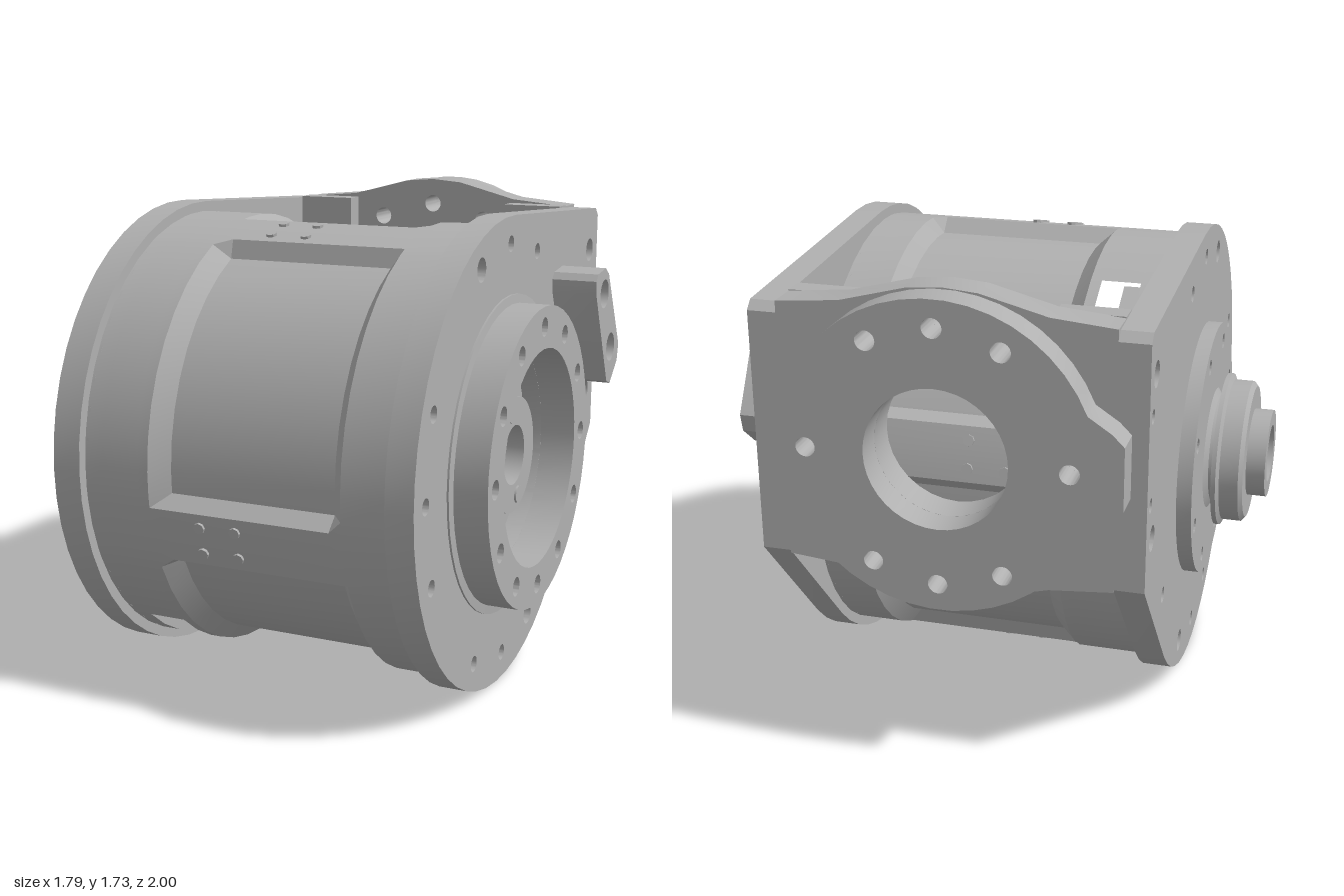
import * as THREE from 'three';
import { toCreasedNormals } from 'three/addons/utils/BufferGeometryUtils.js';

const CY = 0.853, CZ = 0.155; // main axis, parallel to x
const RAD = Math.PI / 180;
const metal = new THREE.MeshStandardMaterial({ color: 0xb0b0b0 });
metal.name = 'grey metal';

export function createModel() {
  const model = new THREE.Group();
  model.name = 'actuatorHousing';

  const add = (name, geo, crease = 32) => {
    const mesh = new THREE.Mesh(toCreasedNormals(geo, crease * RAD), metal);
    mesh.name = name;
    model.add(mesh);
    return mesh;
  };
  const circle = (x, y, r) => new THREE.Path().absarc(x, y, r, 0, Math.PI * 2, true);
  const polygon = pts => new THREE.Shape(pts.map(p => new THREE.Vector2(p[0], p[1])));
  const disc = (x, y, r) => new THREE.Shape().absarc(x, y, r, 0, Math.PI * 2, false);
  const extrude = (shape, depth, segs = 16) =>
    new THREE.ExtrudeGeometry(shape, { depth, bevelEnabled: false, curveSegments: segs });
  // side shapes are drawn as (-z, y) and run along x
  const sideways = (shape, x0, x1, segs) =>
    extrude(shape, x1 - x0, segs).rotateY(Math.PI / 2).translate(x0, 0, 0);
  // turned parts: closed profile of (radius, x)
  const turned = (name, pts) => add(name, new THREE.LatheGeometry(
    pts.map(p => new THREE.Vector2(p[0], p[1])), 48).rotateZ(-Math.PI / 2).translate(0, CY, CZ));
  // small cylinder along x
  const bolt = (name, x, y, z, r, len, sides = 6) =>
    add(name, new THREE.CylinderGeometry(r, r, len, sides).rotateZ(Math.PI / 2).translate(x, y, z));
  const ringHoles = (shape, count, radius, r, offset = 0) => {
    for (let i = 0; i < count; i++) {
      const a = (offset + i * 360 / count) * RAD;
      shape.holes.push(circle(-CZ + radius * Math.cos(a), CY + radius * Math.sin(a), r));
    }
  };

  // End plates: round in front, squared off at the back
  function endPlate(name, x0, x1, bore) {
    const s = new THREE.Shape();
    s.absarc(-CZ, CY, 0.847, 87 * RAD, 317 * RAD, false);
    s.lineTo(0.89, 0.75);
    s.lineTo(0.89, 1.61);
    s.lineTo(0.86, 1.64);
    s.closePath();
    s.holes.push(circle(-CZ, CY, bore));
    for (const deg of [67.5, 90, 112.5, 157.5, 180, 202.5, 247.5, 270, 292.5, 337.5]) {
      const r = deg === 112.5 || deg === 292.5 ? 0.042 : 0.029;
      s.holes.push(circle(-CZ + 0.75 * Math.cos(deg * RAD), CY + 0.75 * Math.sin(deg * RAD), r));
    }
    for (const [a, y, r] of [[0.79, 1.48, 0.045], [0.83, 1.35, 0.025], [0.83, 1.04, 0.025], [0.79, 0.905, 0.045]])
      s.holes.push(circle(a, y, r));
    add(name, sideways(s, x0, x1, 16), 20);
  }
  endPlate('leftEndPlate', 0.62, 0.72, 0.39);
  endPlate('rightEndPlate', -0.625, -0.52, 0.2);

  // Drum with four recessed panels, four ribs and two slots
  const xs = [-0.52, -0.45, -0.31, -0.27, -0.21, 0.405, 0.45, 0.62];
  const ribs = [-15, 75, 165, 255];
  const angles = [];
  for (const rib of ribs) {
    angles.push(rib - 7, rib, rib + 7, rib + 10);
    for (const d of [16, 24, 32, 40, 48, 56, 64, 72]) angles.push(rib + d);
    angles.push(rib + 80);
  }
  angles.push(338);
  angles.push(...[338].filter(() => false));
  const inPanel = t => {
    const m = (((t + 15) % 90) + 90) % 90;
    return m > 9 && m < 81;
  };
  const radiusAt = (x, t) => (x > -0.25 && x < 0.43 && inPanel(t) ? 0.755 : 0.81);
  const inSlot = t => (t > 107 && t < 139) || (t > 287 && t < 319);
  const pos = [];
  const point = (i, t) => {
    const r = radiusAt(xs[i], t);
    return [xs[i], CY + r * Math.sin(t * RAD), CZ + r * Math.cos(t * RAD)];
  };
  for (let j = 0; j < angles.length - 1; j++) {
    const t0 = angles[j], t1 = angles[j + 1];
    for (let i = 0; i < xs.length - 1; i++) {
      if (i === 1 && inSlot(t0) && inSlot(t1)) continue;
      const a = point(i, t0), b = point(i + 1, t0), c = point(i + 1, t1), d = point(i, t1);
      pos.push(...a, ...b, ...c, ...a, ...c, ...d);
    }
  }
  const drum = new THREE.BufferGeometry();
  drum.setAttribute('position', new THREE.Float32BufferAttribute(pos, 3));
  add('drum', drum, 25);
  for (const x of [-0.519, 0.609])
    turned('drumEndRing', [[0.3, x], [0.809, x], [0.809, x + 0.01], [0.3, x + 0.01], [0.3, x]]);

  // Contacts inside the slots
  for (const deg of [112, 292])
    add('slotContact', new THREE.BoxGeometry(0.06, 0.05, 0.2)
      .translate(0, 0.73, 0).rotateX((90 - deg - 8) * RAD).translate(-0.41, CY, CZ));

  // Rib screws
  for (const rib of ribs) for (const d of [-3.5, 3.5]) for (const x of [-0.08, 0.055])
    add('ribScrew', new THREE.CylinderGeometry(0.02, 0.02, 0.02, 8)
      .translate(0, 0.808, 0).rotateX((90 - rib - d) * RAD).translate(x, CY, CZ));

  // Left bearing ring with its bolts
  const ring = disc(-CZ, CY, 0.54);
  ring.holes.push(circle(-CZ, CY, 0.39));
  ringHoles(ring, 12, 0.468, 0.034);
  add('bearingRing', sideways(ring, 0.72, 0.85, 24));
  turned('bearingRingLip', [[0.5, 0.715], [0.572, 0.715], [0.572, 0.727], [0.5, 0.735], [0.5, 0.715]]);
  for (let i = 0; i < 12; i++) {
    const a = i * 30 * RAD;
    bolt('ringBolt', 0.77, CY + 0.468 * Math.sin(a), CZ + 0.468 * Math.cos(a), 0.022, 0.1);
  }

  // Hollow shaft, right through the housing
  turned('hollowShaft', [
    [0.108, -0.9], [0.165, -0.9], [0.165, -0.83], [0.25, -0.83], [0.268, -0.815], [0.268, -0.745],
    [0.29, -0.735], [0.29, -0.718], [0.2, -0.712], [0.2, -0.695], [0.24, -0.675], [0.24, -0.6],
    [0.18, -0.6], [0.18, 0.6], [0.4, 0.6], [0.4, 0.65], [0.21, 0.65], [0.21, 0.75], [0.108, 0.75], [0.108, -0.9]]);
  turned('recessWall', [[0.39, 0.85], [0.39, 0.64], [0.42, 0.64], [0.42, 0.845], [0.39, 0.85]]
    .map(([r, x]) => [r, Math.min(x, 0.845)]));
  for (const s of [1, -1])
    bolt('hubScrew', 0.75, CY + s * 0.155, CZ + s * 0.042, 0.032, 0.015, 12);

  // Right flange
  const flange = disc(-CZ, CY, 0.48);
  flange.holes.push(circle(-CZ, CY, 0.2));
  ringHoles(flange, 8, 0.41, 0.028, 22.5);
  add('rightFlange', sideways(flange, -0.68, -0.625, 24));

  // Connector pad on the left plate
  const pad = polygon([[0.32, 1.42], [0.34, 1.445], [0.44, 1.457], [0.485, 1.43], [0.655, 1.135],
    [0.64, 1.07], [0.55, 0.995], [0.505, 1.01], [0.325, 1.37]].reverse());
  for (const [a, y] of [[0.435, 1.36], [0.54, 1.14]]) {
    pad.holes.push(circle(a, y, 0.055));
    bolt('padBolt', 0.77, y, -a, 0.036, 0.12);
  }
  add('connectorPad', sideways(pad, 0.72, 0.89, 10));

  // Rear bridge and mounting flange share the opening and bolt holes
  const MX = 0.05, MY = 1.195;
  const mountHoles = shape => {
    shape.holes.push(circle(MX, MY, 0.245));
    for (const deg of [0, 60, 90, 120, 180, 240, 270, 300])
      shape.holes.push(circle(MX + 0.445 * Math.cos(deg * RAD), MY + 0.445 * Math.sin(deg * RAD), 0.034));
  };
  const top = [[0.62, 1.65], [0.4, 1.67], [0.17, 1.73], [0.05, 1.74], [-0.07, 1.73], [-0.3, 1.67], [-0.52, 1.65]];
  const bridge = polygon([...top, ...top.map(([x, y]) => [x, 2 * MY - y]).reverse()]);
  mountHoles(bridge);
  add('rearBridge', extrude(bridge, 0.12).translate(0, 0, -0.89));
  for (const [x0, x1] of [[-0.52, -0.29], [0.39, 0.62]])
    add('bridgeBlock', new THREE.BoxGeometry(x1 - x0, 0.92, 0.08).translate((x0 + x1) / 2, MY, -0.735));

  const mount = new THREE.Shape();
  mount.absarc(MX, MY, 0.54, -158 * RAD, 158 * RAD, false);
  mount.lineTo(-0.53, MY + 0.15);
  mount.lineTo(-0.57, MY + 0.11);
  mount.lineTo(-0.57, MY - 0.11);
  mount.lineTo(-0.53, MY - 0.15);
  mount.closePath();
  mountHoles(mount);
  add('mountingFlange', extrude(mount, 0.11, 20).translate(0, 0, -1));

  return model;
}
